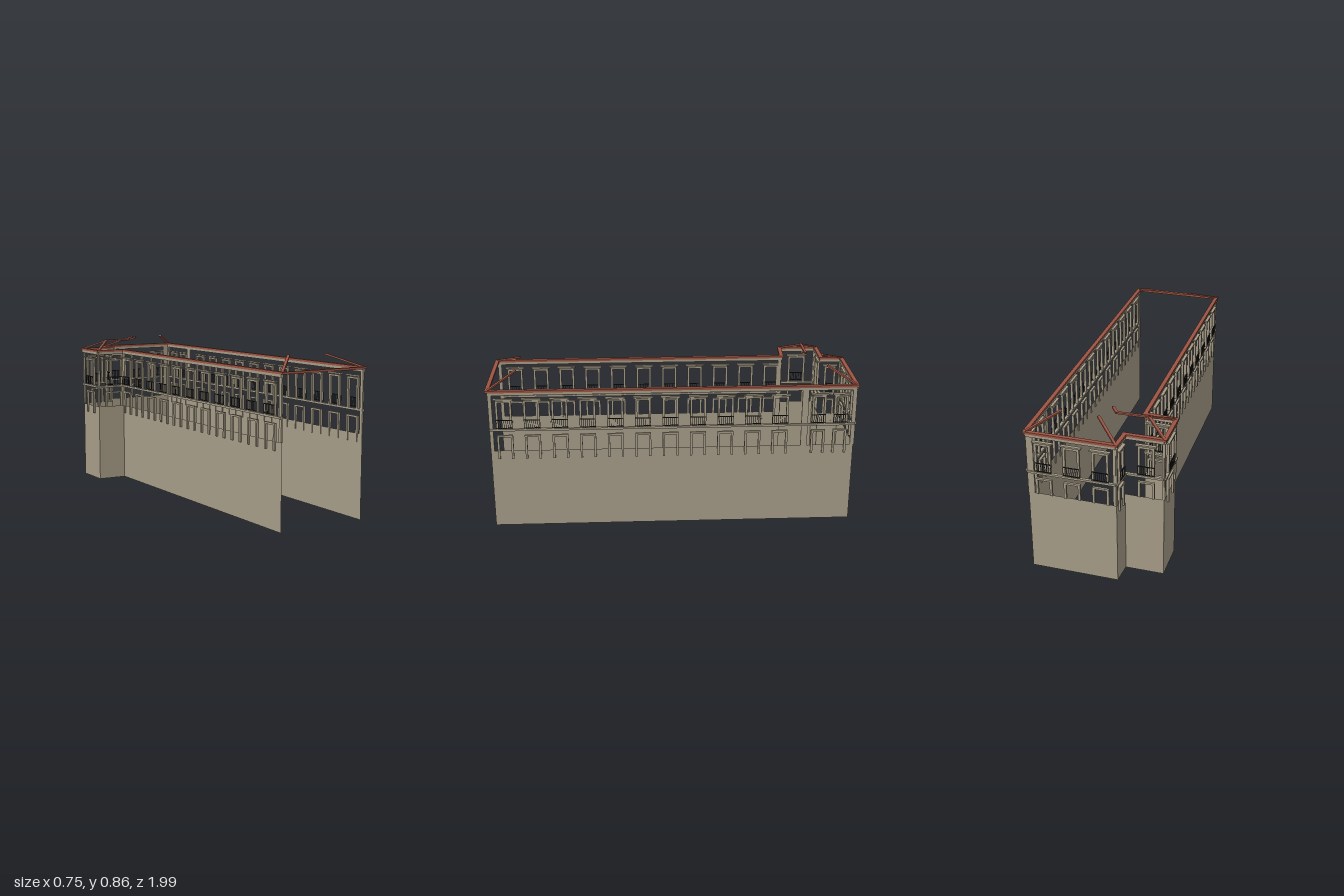
import * as THREE from 'three';

const mat = (name, color) => {
  const m = new THREE.MeshStandardMaterial({ color });
  m.name = name;
  return m;
};

export function createModel() {
  const stone = mat('stone', 0xa69c87);
  const tile = mat('roofTile', 0x9c5443);
  const iron = mat('iron', 0x222224);
  stone.side = THREE.DoubleSide;

  const model = new THREE.Group();
  model.name = 'buildingShell';

  // Box given by its limits on each axis
  const box = (parent, name, material, x0, x1, y0, y1, z0, z1) => {
    const m = new THREE.Mesh(new THREE.BoxGeometry(x1 - x0, y1 - y0, z1 - z0), material);
    m.position.set((x0 + x1) / 2, (y0 + y1) / 2, (z0 + z1) / 2);
    m.name = name;
    parent.add(m);
  };

  // Lower and upper window with hood and balcony; local +z points outwards
  const windowBay = (parent, x, w, foot) => {
    const g = new THREE.Group();
    g.name = 'windowBay';
    g.position.x = x;
    parent.add(g);
    const h = w / 2, t = 0.012, back = -0.004, out = 0.009;
    for (const [y0, y1] of [[foot, 0.535], [0.572, 0.731]]) {
      box(g, 'jamb', stone, -h, -h + t, y0, y1, back, out);
      box(g, 'jamb', stone, h - t, h, y0, y1, back, out);
      box(g, 'lintel', stone, -h + t, h - t, y1 - 0.01, y1, back, out);
    }
    box(g, 'hood', stone, -h - 0.01, h + 0.01, 0.734, 0.742, back, 0.014);
    const bars = Math.round(w / 0.0105);
    box(g, 'handRail', iron, -h, h, 0.622, 0.626, 0.01, 0.014);
    box(g, 'footRail', iron, -h, h, 0.577, 0.581, 0.01, 0.014);
    for (let i = 0; i <= bars; i++) {
      const bx = -h + 0.001 + (w - 0.002) * i / bars;
      box(g, 'baluster', iron, bx - 0.001, bx + 0.001, 0.574, 0.624, 0.011, 0.013);
    }
  };

  // Plan corners, going round from the front left corner
  const plan = [
    [0.362, 0.968], [0.295, -0.985], [-0.162, -0.975], [-0.166, -0.86],
    [-0.366, -0.855], [-0.36, -0.645], [-0.197, -0.64], [-0.14, 0.982],
  ];
  const row = (start, step, n) => Array.from({ length: n }, (_, i) => start + step * i);

  // Per wall: window [distance along wall, width], pilaster [start, end], foot of lower jambs
  const walls = [
    { windows: [...row(0.08, 0.147, 11).map(d => [d, 0.085]), [1.757, 0.075], [1.875, 0.075]],
      pilasters: [[0, 0.02], [1.665, 1.7], [1.935, 1.954]], foot: 0.4 },
    { windows: row(0.085, 0.147, 3).map(d => [d, 0.085]),
      pilasters: [[0, 0.035], [0.442, 0.457]], foot: 0.445 },
    { windows: [[0.058, 0.065]], pilasters: [[0, 0.01]], foot: 0.4 },
    { windows: [[0.11, 0.085]], pilasters: [[0.19, 0.2]], foot: 0.445 },
    { windows: [[0.105, 0.1]], pilasters: [[0, 0.01], [0.2, 0.21]], foot: 0.4 },
    { windows: [[0.095, 0.11]], pilasters: [[0, 0.008]], foot: 0.445 },
    { windows: row(0.06, 0.147, 11).map(d => [d, 0.085]),
      pilasters: [[0, 0.02], [1.603, 1.623]], foot: 0.4 },
    null, // open front end: eave only
  ];

  walls.forEach((wall, i) => {
    const [ax, az] = plan[i], [bx, bz] = plan[(i + 1) % plan.length];
    const L = Math.hypot(bx - ax, bz - az);
    const side = new THREE.Group();
    side.name = wall ? 'wallSide' : 'openFront';
    side.position.set(ax, 0, az);
    side.rotation.y = Math.atan2(az - bz, bx - ax);
    model.add(side);

    // Tiled eave
    const e = i === 2 || i === 5 ? 0 : 0.011;
    box(side, 'eave', tile, -0.011, L + e, 0.777, 0.789, -0.009, 0.013);
    if (!wall) return;

    // Lower wall sheet
    const sheet = new THREE.Mesh(new THREE.PlaneGeometry(L, 0.445), stone);
    sheet.position.set(L / 2, 0.2225, 0);
    sheet.name = 'lowerWall';
    side.add(sheet);

    box(side, 'cornice', stone, 0, L, 0.762, 0.777, -0.006, 0.01);
    box(side, 'floorBand', stone, 0, L, 0.561, 0.572, -0.004, 0.012);
    for (const [p0, p1] of wall.pilasters) box(side, 'pilaster', stone, p0, p1, 0.445, 0.762, -0.003, 0.005);
    for (const [d, w] of wall.windows) windowBay(side, d, w, wall.foot);
  });

  // Hip and ridge tiles between two points
  const ridge = (a, b) => {
    const p = new THREE.Vector3(...a), q = new THREE.Vector3(...b);
    const m = new THREE.Mesh(new THREE.BoxGeometry(0.014, 0.009, p.distanceTo(q)), tile);
    m.position.copy(p).add(q).multiplyScalar(0.5);
    m.lookAt(q);
    m.name = 'ridgeTiles';
    model.add(m);
  };
  ridge([-0.165, 0.785, -0.98], [-0.03, 0.85, -0.845]);
  ridge([0.3, 0.785, -0.99], [0.163, 0.85, -0.845]);
  ridge([-0.145, 0.785, 0.985], [-0.005, 0.85, 0.835]);
  ridge([0.367, 0.785, 0.972], [0.222, 0.85, 0.832]);
  ridge([-0.37, 0.785, -0.86], [-0.257, 0.838, -0.755]);
  ridge([-0.362, 0.785, -0.642], [-0.257, 0.838, -0.755]);
  ridge([-0.257, 0.838, -0.755], [-0.093, 0.838, -0.761]);
  ridge([-0.093, 0.838, -0.761], [-0.065, 0.852, -0.733]);

  return model;
}
